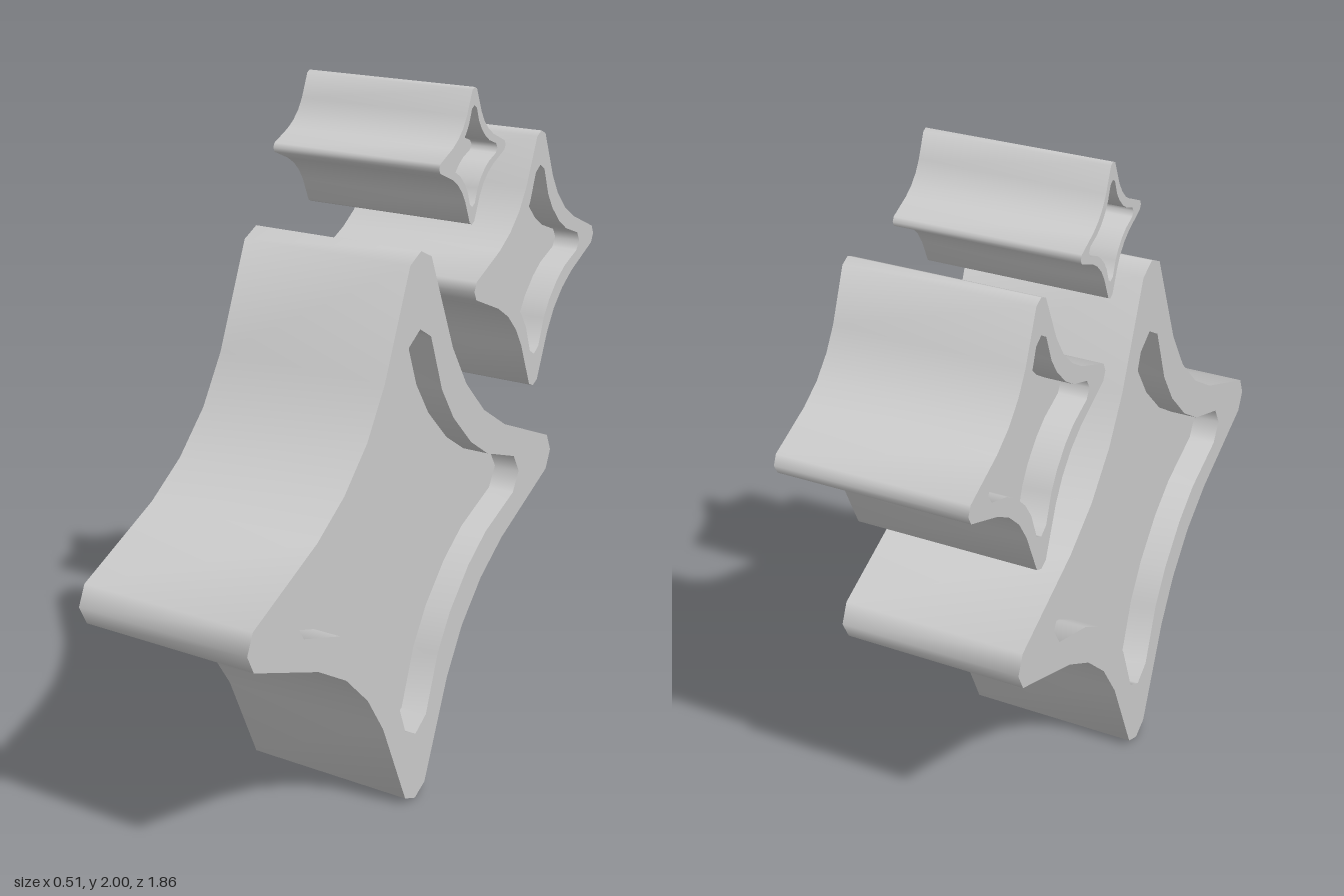
import * as THREE from 'three';
import { toCreasedNormals } from 'three/addons/utils/BufferGeometryUtils.js';

const WIDTH = 0.515;
const RECESS = 0.08;

// One quarter of each outline, from the upper tip towards the side tip
const OUTER = [[0, 0.81], [-0.055, 0.784], [-0.179, 0.5], [-0.264, 0.368], [-0.374, 0.26], [-0.5, 0.179], [-0.784, 0.055]];
const INNER = [[0, 0.6], [-0.058, 0.565], [-0.122, 0.397], [-0.19, 0.295], [-0.295, 0.19], [-0.397, 0.122], [-0.565, 0.058]];

// Repeat a quarter outline four times around the centre (counter-clockwise)
function outline(quarter, scale) {
  const points = [];
  for (let i = 0; i < 4; i++) {
    for (const [x, y] of quarter) {
      points.push(new THREE.Vector2(x, y).multiplyScalar(scale).rotateAround(new THREE.Vector2(), i * Math.PI / 2));
    }
  }
  return points;
}

function createStar(name, scale, y, z, material) {
  const star = new THREE.Group();
  star.name = name;

  // Thick rim around the recessed panels
  const shape = new THREE.Shape(outline(OUTER, scale));
  shape.holes.push(new THREE.Path(outline(INNER, scale).reverse()));
  const rimGeometry = new THREE.ExtrudeGeometry(shape, { depth: WIDTH, bevelEnabled: false });
  rimGeometry.translate(0, 0, -WIDTH / 2);
  const rim = new THREE.Mesh(toCreasedNormals(rimGeometry, 1.1), material);
  rim.name = 'rim';
  star.add(rim);

  // Recessed panel on each face
  const panelGeometry = new THREE.ShapeGeometry(new THREE.Shape(outline(INNER, scale)));
  for (const side of [1, -1]) {
    const panel = new THREE.Mesh(panelGeometry, material);
    panel.name = side > 0 ? 'leftPanel' : 'rightPanel';
    panel.position.z = side * (WIDTH / 2 - RECESS);
    if (side < 0) panel.rotation.y = Math.PI;
    star.add(panel);
  }

  // Faces look along x
  star.rotation.y = Math.PI / 2;
  star.position.set(0, y, z);
  return star;
}

export function createModel() {
  const group = new THREE.Group();
  group.name = 'sparkles';
  const material = new THREE.MeshStandardMaterial({ color: 0xcccccc });
  group.add(
    createStar('largeStar', 1, 0.81, 0.125, material),
    createStar('mediumStar', 0.469, 1.437, -0.55, material),
    createStar('smallStar', 0.227, 1.816, -0.147, material),
  );
  return group;
}
